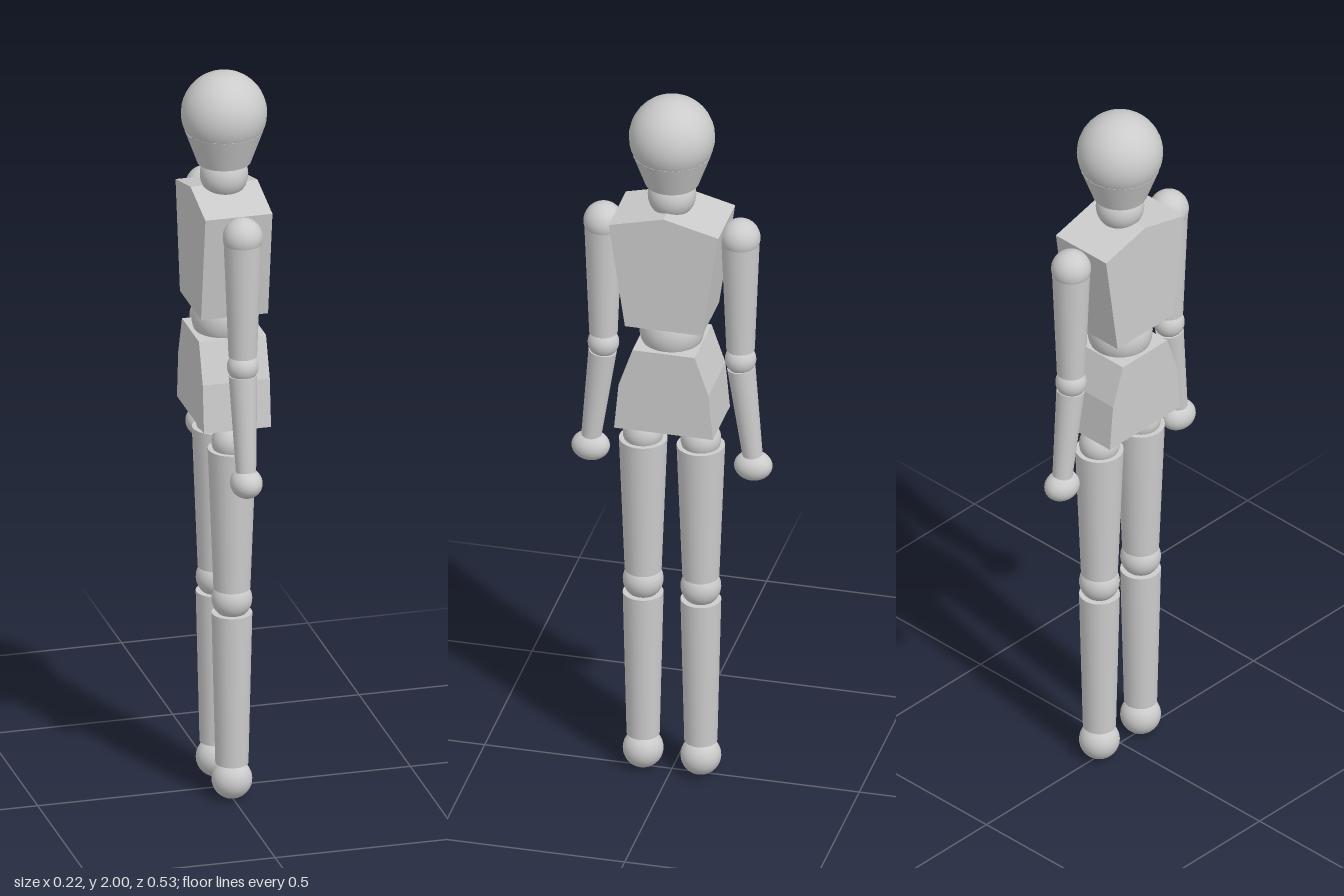
import * as THREE from 'three';

const material = new THREE.MeshStandardMaterial({ color: 0xcccccc });
const UP = new THREE.Vector3(0, 1, 0);

function add(parent, name, geometry, x = 0, y = 0, z = 0) {
  const mesh = new THREE.Mesh(geometry, material);
  mesh.name = name;
  mesh.position.set(x, y, z);
  parent.add(mesh);
  return mesh;
}

function ball(parent, name, r, y, z = 0) {
  return add(parent, name, new THREE.SphereGeometry(r, 32, 20), 0, y, z);
}

// Tapered limb between two [y, z] points
function limb(parent, name, [y0, z0], r0, [y1, z1], r1) {
  const top = new THREE.Vector3(0, y0, z0);
  const bottom = new THREE.Vector3(0, y1, z1);
  const axis = top.clone().sub(bottom);
  const mesh = add(parent, name, new THREE.CylinderGeometry(r0, r1, axis.length(), 24));
  mesh.position.copy(top).add(bottom).multiplyScalar(0.5);
  mesh.quaternion.setFromUnitVectors(UP, axis.normalize());
  return mesh;
}

// Flat block with a mirrored [z, y] outline, extruded along x
function block(parent, name, half, width) {
  const mirrored = half.filter(([z]) => z > 0).reverse().map(([z, y]) => [-z, y]);
  const outline = [...half, ...mirrored].map(([z, y]) => new THREE.Vector2(z, y));
  const geometry = new THREE.ExtrudeGeometry(new THREE.Shape(outline), { depth: width, bevelEnabled: false });
  geometry.translate(0, 0, -width / 2);
  geometry.rotateY(Math.PI / 2);
  return add(parent, name, geometry);
}

export function createModel() {
  const model = new THREE.Group();
  model.name = 'jointedMannequin';

  // Head and neck
  const head = new THREE.Group();
  head.name = 'head';
  model.add(head);
  ball(head, 'skull', 0.112, 1.888);
  limb(head, 'jaw', [1.842, 0], 0.103, [1.752, 0], 0.07);
  ball(model, 'neck', 0.063, 1.717);

  // Torso
  block(model, 'chest', [[0, 1.69], [0.146, 1.653], [0.103, 1.357]], 0.18);
  ball(model, 'waist', 0.085, 1.32);
  block(model, 'pelvis', [[0.083, 1.288], [0.12, 1.18], [0.132, 1.05]], 0.18);

  for (const s of [1, -1]) {
    // Arm
    const arm = new THREE.Group();
    arm.name = s > 0 ? 'armA' : 'armB';
    model.add(arm);
    ball(arm, 'shoulder', 0.052, 1.612, s * 0.183);
    limb(arm, 'upperArm', [1.61, s * 0.183], 0.05, [1.28, s * 0.183], 0.037);
    ball(arm, 'elbow', 0.041, 1.25, s * 0.183);
    limb(arm, 'forearm', [1.225, s * 0.185], 0.037, [0.96, s * 0.216], 0.026);
    ball(arm, 'hand', 0.042, 0.937, s * 0.217).scale.set(1, 0.95, 1.2);

    // Leg
    const leg = new THREE.Group();
    leg.name = s > 0 ? 'legA' : 'legB';
    model.add(leg);
    const z = s * 0.077;
    ball(leg, 'hip', 0.053, 0.998, z);
    limb(leg, 'thigh', [0.98, z], 0.063, [0.588, z], 0.048);
    ball(leg, 'knee', 0.053, 0.558, z);
    limb(leg, 'shin', [0.52, z], 0.053, [0.098, z], 0.043);
    ball(leg, 'foot', 0.053, 0.053, z);
  }
  return model;
}
